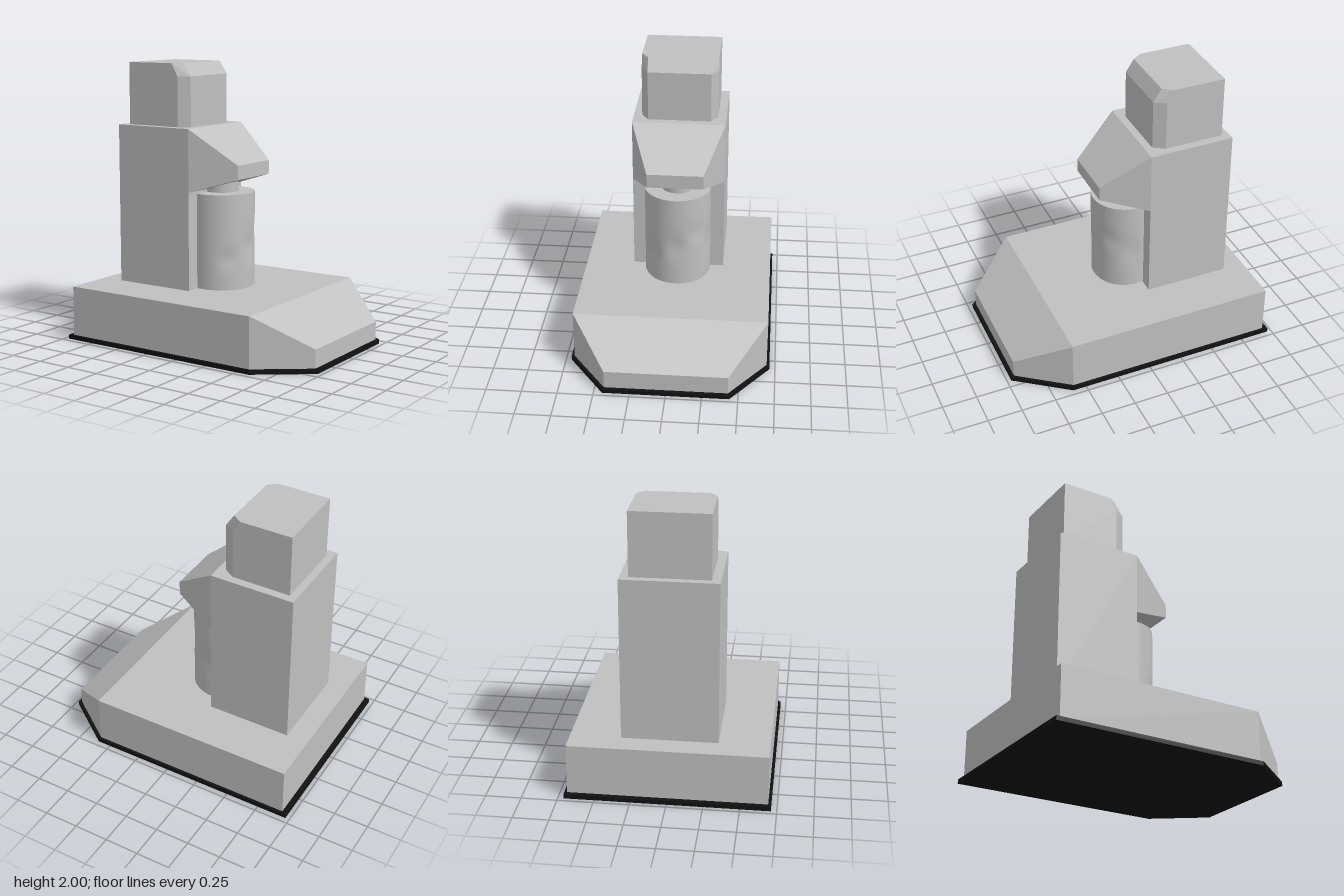
import * as THREE from 'three';
import { ConvexGeometry } from 'three/addons/geometries/ConvexGeometry.js';

const grey = new THREE.MeshStandardMaterial({ color: 0xc0c0c0 });
grey.name = 'body grey';
const black = new THREE.MeshStandardMaterial({ color: 0x111111 });
black.name = 'rubber black';

// Convex solid from [x, y, z] corners, each mirrored across z = 0
function mirroredHull(name, corners, material) {
  const points = corners.flatMap(([x, y, z]) => [
    new THREE.Vector3(x, y, z), new THREE.Vector3(x, y, -z),
  ]);
  const mesh = new THREE.Mesh(new ConvexGeometry(points), material);
  mesh.name = name;
  return mesh;
}

function cylinder(name, radius, y0, y1, x) {
  const geometry = new THREE.CylinderGeometry(radius, radius, y1 - y0, 48);
  const mesh = new THREE.Mesh(geometry, grey);
  mesh.position.set(x, (y0 + y1) / 2, 0);
  mesh.name = name;
  return mesh;
}

// Canister with shallow dents around its middle on the exposed side
function dentedCanister(radius, y0, y1, x) {
  const height = y1 - y0;
  const group = new THREE.Group();
  group.name = 'canister';
  const wall = new THREE.CylinderGeometry(radius, radius, height, 72, 36, true, -Math.PI / 2);
  const p = wall.attributes.position;
  const dents = [ // angle from +z, height, angular width, vertical width, depth
    [1.6, 0.70, 0.28, 0.10, 0.014],
    [3.0, 0.70, 0.35, 0.11, 0.011],
    [0.8, 0.62, 0.28, 0.07, 0.010],
    [2.3, 0.80, 0.30, 0.07, 0.009],
  ];
  const middle = (y0 + y1) / 2;
  for (let i = 0; i < p.count; i++) {
    const angle = Math.atan2(p.getX(i), p.getZ(i));
    const y = p.getY(i) + middle;
    let r = radius;
    for (const [a, h, wa, wh, depth] of dents) {
      r -= depth * Math.exp(-(((angle - a) / wa) ** 2) - ((y - h) / wh) ** 2);
    }
    p.setX(i, r * Math.sin(angle));
    p.setZ(i, r * Math.cos(angle));
  }
  wall.computeVertexNormals();
  const wallMesh = new THREE.Mesh(wall, grey);
  wallMesh.name = 'canisterWall';
  group.add(wallMesh);
  // End caps
  for (const side of [1, -1]) {
    const cap = new THREE.Mesh(new THREE.CircleGeometry(radius, 72), grey);
    cap.rotation.x = -side * Math.PI / 2;
    cap.position.y = side * height / 2;
    cap.name = side > 0 ? 'canisterTop' : 'canisterBottom';
    group.add(cap);
  }
  group.position.set(x, middle, 0);
  return group;
}

export function createModel() {
  const model = new THREE.Group();
  model.name = 'dispenser';

  // Thin mat under the base
  const matOutline = [[-0.97, 0.71], [0.6, 0.71], [0.97, 0.44]];
  model.add(mirroredHull('rubberMat',
    [0, 0.03].flatMap((y) => matOutline.map(([x, z]) => [x, y, z])), black));

  // Wedge-nosed base
  model.add(mirroredHull('base', [
    [-0.935, 0.03, 0.69], [0.59, 0.03, 0.69], [0.945, 0.03, 0.43],
    [-0.935, 0.39, 0.69], [0.59, 0.39, 0.69], [0.945, 0.16, 0.43],
  ], grey));

  // Upright column
  const column = new THREE.Mesh(new THREE.BoxGeometry(0.62, 1.16, 0.67), grey);
  column.position.set(-0.465, 0.97, 0);
  column.name = 'column';
  model.add(column);

  // Tapered head overhanging the canister
  model.add(mirroredHull('head', [
    [-0.155, 1.55, 0.335], [-0.155, 1.10, 0.335],
    [0.175, 1.30, 0.2], [0.175, 1.20, 0.2],
  ], grey));

  // Chamfered block on top
  model.add(mirroredHull('topBlock', [
    [-0.72, 1.55, 0.275], [-0.29, 1.55, 0.275], [-0.21, 1.55, 0.225],
    [-0.72, 2.0, 0.275], [-0.34, 2.0, 0.275], [-0.27, 2.0, 0.225],
    [-0.29, 1.91, 0.275], [-0.21, 1.91, 0.225],
  ], grey));

  // Canister, its foot ring and the neck into the head
  model.add(cylinder('footRing', 0.23, 0.385, 0.41, -0.1));
  model.add(dentedCanister(0.24, 0.405, 1.08, -0.1));
  model.add(cylinder('neck', 0.12, 1.07, 1.19, -0.1));

  return model;
}
